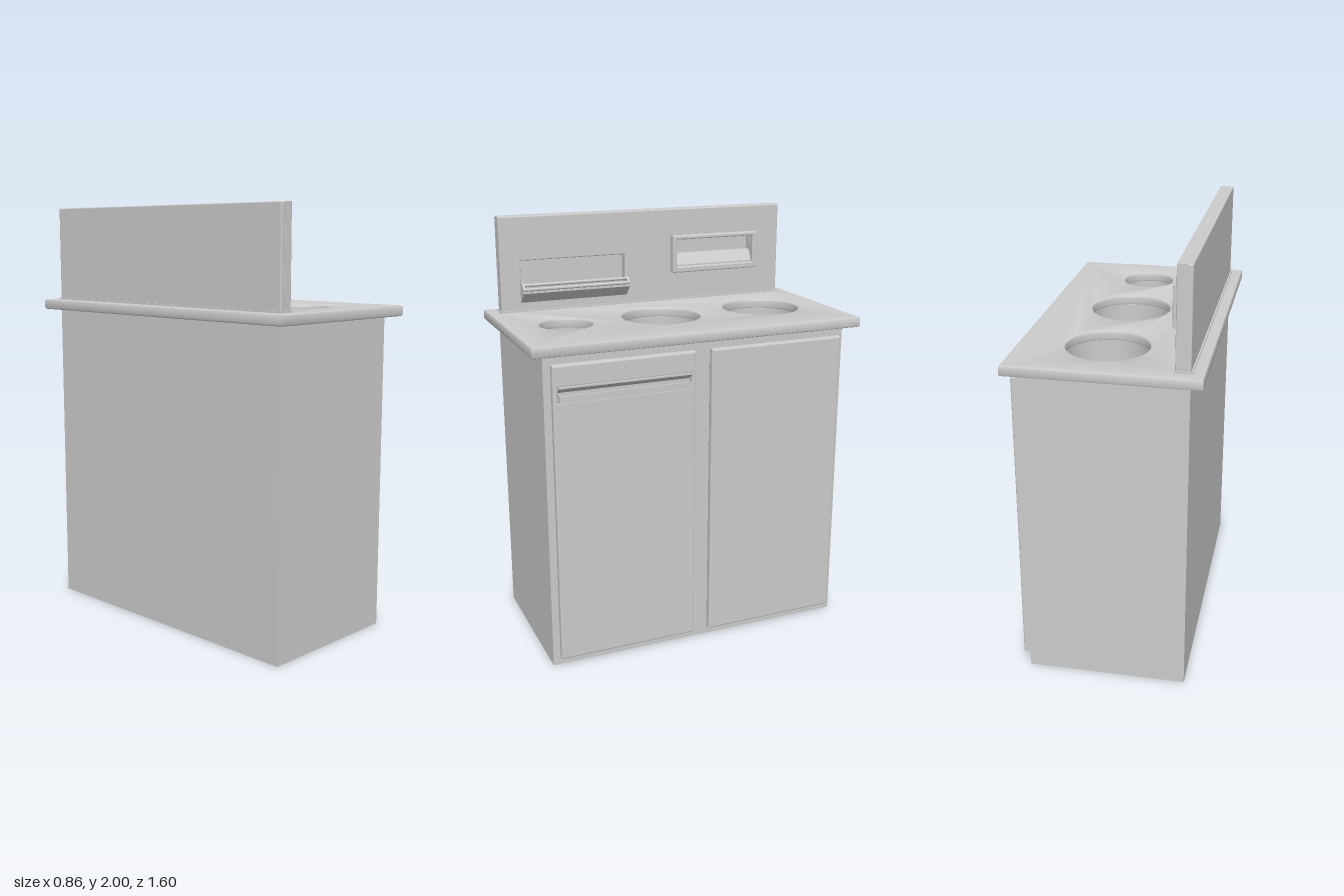
import * as THREE from 'three';
import { toCreasedNormals } from 'three/addons/utils/BufferGeometryUtils.js';
import { RoundedBoxGeometry } from 'three/addons/geometries/RoundedBoxGeometry.js';

const grey = new THREE.MeshStandardMaterial({ color: 0xcccccc });

export function createModel() {
  const model = new THREE.Group();

  const add = (name, geometry) => {
    const mesh = new THREE.Mesh(geometry, grey);
    mesh.name = name;
    model.add(mesh);
    return mesh;
  };

  // box given by its limits, optionally with rounded edges
  const box = (name, x0, x1, y0, y1, z0, z1, r = 0) => {
    const size = [x1 - x0, y1 - y0, z1 - z0];
    const g = r ? new RoundedBoxGeometry(...size, 2, r) : new THREE.BoxGeometry(...size);
    g.translate((x0 + x1) / 2, (y0 + y1) / 2, (z0 + z1) / 2);
    return add(name, g);
  };

  const rect = (a0, a1, b0, b1, Type = THREE.Shape) => new Type([
    [a0, b0], [a1, b0], [a1, b1], [a0, b1],
  ].map(([a, b]) => new THREE.Vector2(a, b)));

  const extrude = (shape, depth, bevel) => {
    const g = new THREE.ExtrudeGeometry(shape, {
      depth: depth - 2 * bevel, curveSegments: 40, bevelEnabled: bevel > 0,
      bevelThickness: bevel, bevelSize: bevel, bevelOffset: -bevel, bevelSegments: 2,
    });
    return g.translate(0, 0, bevel);
  };

  // upright slab facing +x, with rectangular openings [z0, z1, y0, y1]
  const slab = (name, x0, x1, y0, y1, z0, z1, bevel, openings = []) => {
    const shape = rect(-z1, -z0, y0, y1);
    for (const [a, b, c, d] of openings) shape.holes.push(rect(-b, -a, c, d, THREE.Path));
    return add(name, extrude(shape, x1 - x0, bevel).rotateY(Math.PI / 2).translate(x0, 0, 0));
  };

  // long bar along z from an (x, y) cross-section
  const bar = (name, z0, z1, points) => {
    const shape = new THREE.Shape(points.map(([x, y]) => new THREE.Vector2(x, y)));
    return add(name, extrude(shape, z1 - z0, 0).translate(0, 0, z0));
  };

  // horizontal slab pierced by the three round wells
  const wells = [[0.03, -0.475, 0.185], [0.03, 0.055, 0.185], [0.03, 0.525, 0.123]];
  const deck = (name, x0, x1, y0, y1, z, bevel) => {
    const shape = rect(x0, x1, -z, z);
    for (const [wx, wz, r] of wells) {
      shape.holes.push(new THREE.Path().absarc(wx, -wz, r, 0, Math.PI * 2, true));
    }
    const g = extrude(shape, y1 - y0, bevel).rotateX(-Math.PI / 2).translate(0, y0, 0);
    return add(name, toCreasedNormals(g, 0.4));
  };

  // cabinet, its upper part pierced by the wells
  box('cabinetLower', -0.37, 0.365, 0, 1.05, -0.74, 0.74);
  deck('cabinetUpper', -0.37, 0.365, 1.05, 1.5, 0.74, 0);
  deck('countertop', -0.43, 0.425, 1.495, 1.545, 0.8, 0.01);

  // doors on slightly smaller backing plates
  const pull = [0.06, 0.685, 1.29, 1.355];
  for (const [name, z0, z1, holes] of [
    ['leftDoor', 0.04, 0.71, [pull]],
    ['rightDoor', -0.71, -0.04, []],
  ]) {
    box(name + 'Backing', 0.36, 0.374, 0.06, 1.44, z0 + 0.015, z1 - 0.015);
    slab(name, 0.372, 0.407, 0.045, 1.455, z0, z1, 0.008, holes);
  }

  // recessed door pull: sloping hood and projecting lip
  bar('pullHood', pull[0], pull[1], [[0.374, 1.325], [0.417, 1.352], [0.417, 1.36], [0.374, 1.36]]);
  bar('pullLip', pull[0], pull[1], [[0.374, 1.288], [0.42, 1.288], [0.42, 1.32], [0.412, 1.32], [0.374, 1.3]]);

  // back panel with two recesses
  const tray = [0.11, 0.64, 1.64, 1.79];
  const slot = [-0.58, -0.16, 1.715, 1.85];
  box('backPanelRear', -0.372, -0.345, 1.54, 2, -0.74, 0.74, 0.006);
  slab('backPanel', -0.352, -0.305, 1.54, 2, -0.74, 0.74, 0.005, [tray, slot]);
  box('backPanelFoot', -0.38, -0.297, 1.54, 1.552, -0.745, 0.745);

  // framed dispenser slot with a sloping lower plate
  slab('slotFrame', -0.307, -0.27, 1.685, 1.87, -0.605, -0.135, 0.006, [slot]);
  bar('slotPlate', slot[0], slot[1], [[-0.345, 1.71], [-0.287, 1.71], [-0.287, 1.722], [-0.315, 1.775], [-0.345, 1.775]]);

  // tray projecting under the other recess, with two rails
  bar('traySlope', 0.105, 0.645, [[-0.307, 1.59], [-0.298, 1.59], [-0.25, 1.64], [-0.25, 1.65], [-0.258, 1.65], [-0.307, 1.604]]);
  for (const [x, y] of [[-0.255, 1.658], [-0.275, 1.676]]) {
    const rail = new THREE.CylinderGeometry(0.008, 0.008, 0.535, 8).rotateX(Math.PI / 2);
    add('trayRail', rail.translate(x, y, 0.375));
  }
  for (const z of [0.105, 0.635]) {
    bar('trayEnd', z, z + 0.01, [[-0.307, 1.6], [-0.25, 1.65], [-0.25, 1.665], [-0.275, 1.685], [-0.307, 1.685]]);
  }

  return model;
}
